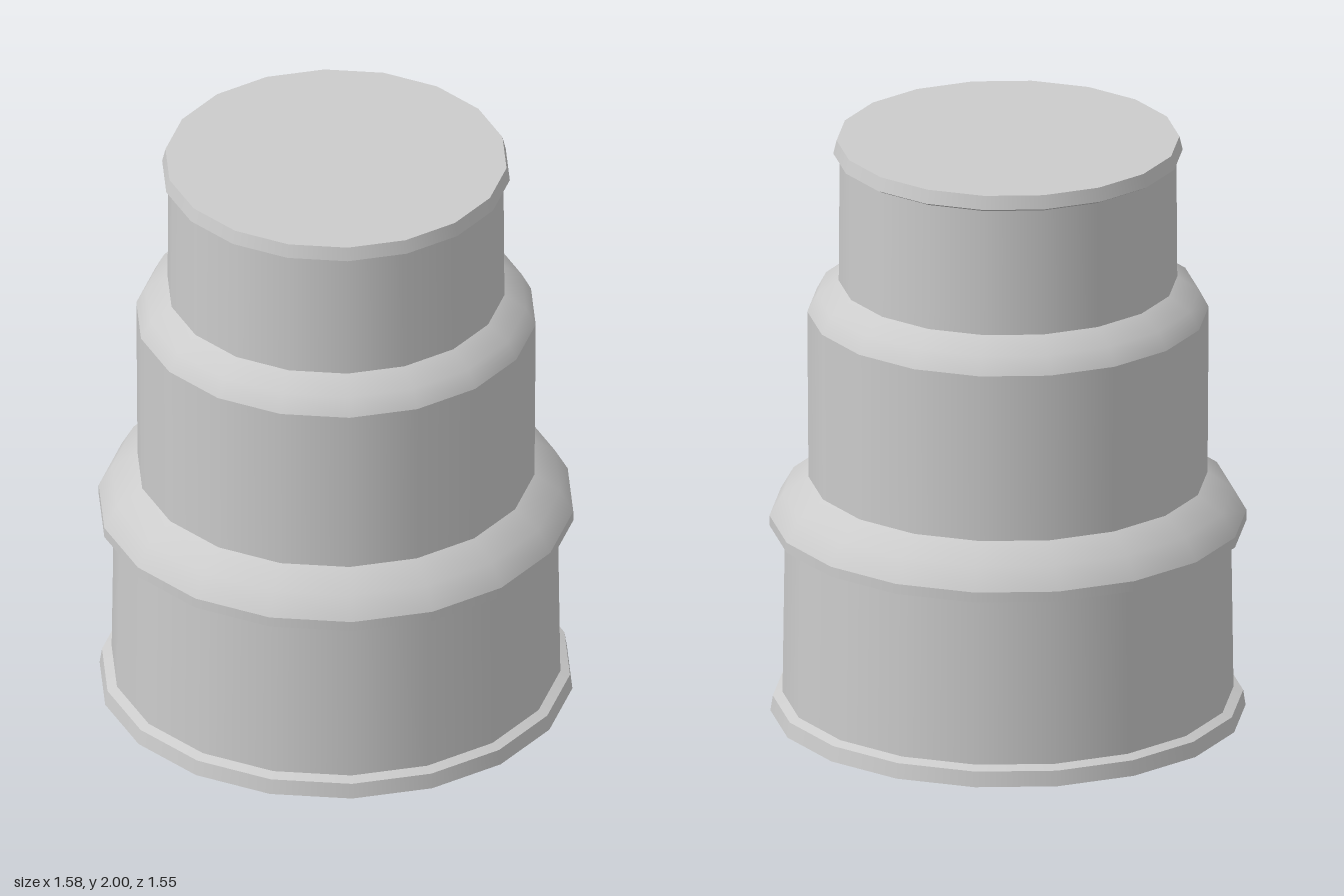
import * as THREE from 'three';

const SIDES = 18;

export function createModel() {
  const group = new THREE.Group();
  const material = new THREE.MeshStandardMaterial({ color: 0xcccccc });

  function add(name, geometry) {
    const mesh = new THREE.Mesh(geometry, material);
    mesh.name = name;
    group.add(mesh);
    return mesh;
  }

  // One smooth band of [radius, height] points; separate bands meet in sharp edges
  function band(name, points) {
    const profile = points.map(([r, y]) => new THREE.Vector2(r, y));
    add(name, new THREE.LatheGeometry(profile, SIDES, Math.PI / 2));
  }

  // Flat end disc, facing up (1) or down (-1)
  function cap(name, radius, y, facing) {
    const disc = add(name, new THREE.CircleGeometry(radius, SIDES));
    disc.rotation.x = -facing * Math.PI / 2;
    disc.position.y = y;
  }

  // Foot
  cap('bottomCap', 0.786, 0, -1);
  band('footRim', [[0.786, 0], [0.778, 0.052]]);
  band('footLedge', [[0.778, 0.052], [0.746, 0.065]]);

  // Lower tier with its overhanging rim
  band('lowerWall', [[0.746, 0.065], [0.738, 0.632]]);
  band('lowerRimUnderside', [[0.738, 0.632], [0.789, 0.65]]);
  band('lowerRim', [[0.789, 0.65], [0.789, 0.685]]);
  band('lowerShoulder', [[0.789, 0.685], [0.745, 0.762], [0.66, 0.82]]);

  // Middle tier
  band('middleWall', [[0.66, 0.82], [0.664, 1.4]]);
  band('middleShoulder', [[0.664, 1.4], [0.632, 1.46], [0.56, 1.508]]);

  // Upper tier with its lip
  band('upperWall', [[0.56, 1.508], [0.557, 1.943]]);
  band('topLipUnderside', [[0.557, 1.943], [0.578, 1.954]]);
  band('topLip', [[0.578, 1.954], [0.567, 2]]);
  cap('topCap', 0.567, 2, 1);

  return group;
}
